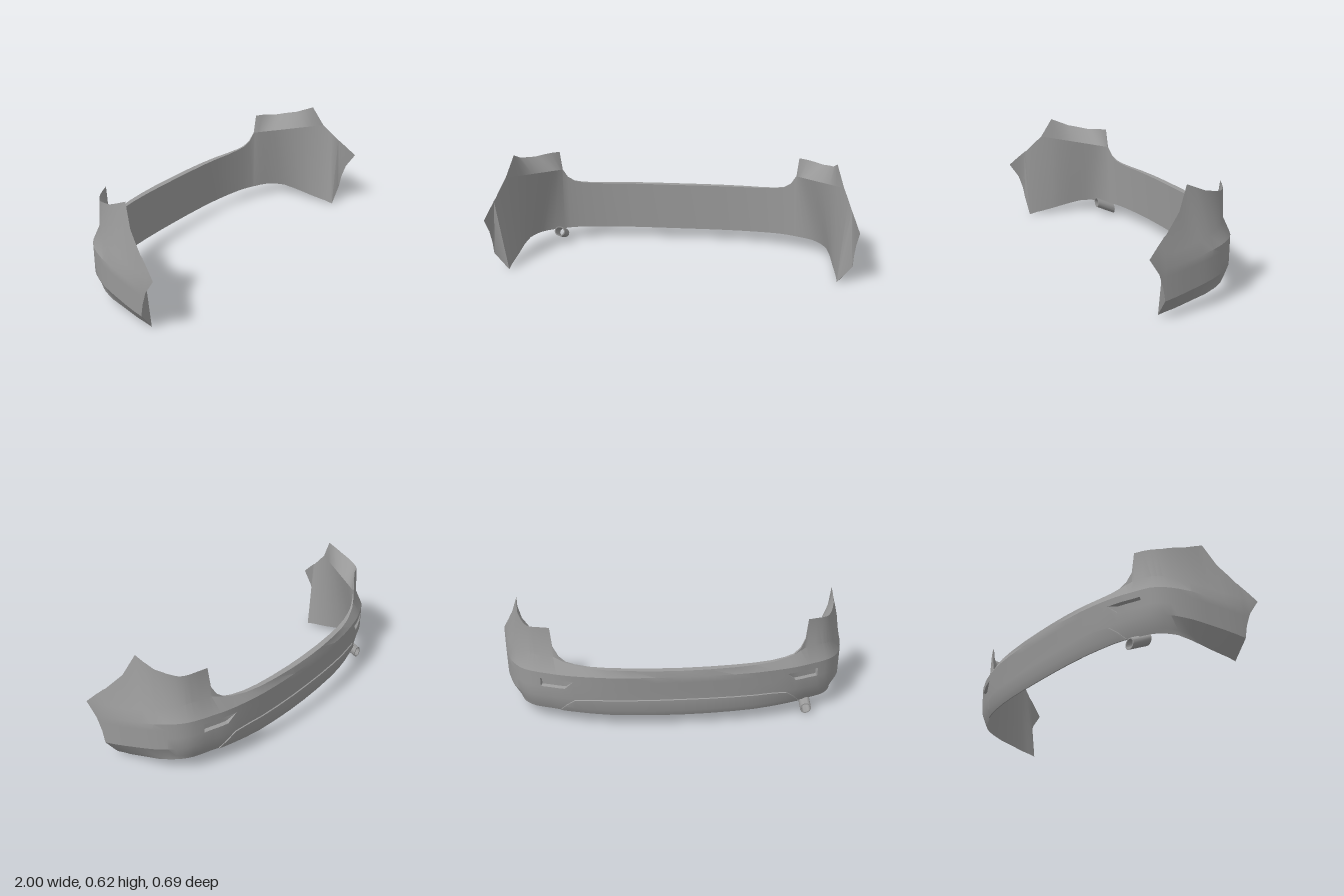
import * as THREE from 'three';
import { toCreasedNormals } from 'three/addons/utils/BufferGeometryUtils.js';

// Half plan from rear centre round to the wheel-arch tip: x, z, bottom y, top y
const STATIONS = [
  [0, -.345, .066, .345], [.14, -.343, .067, .346], [.28, -.336, .069, .348], [.4, -.325, .071, .35],
  [.5, -.308, .074, .353], [.58, -.29, .077, .362], [.63, -.276, .078, .373], [.67, -.262, .078, .4],
  [.7, -.249, .078, .45], [.712, -.244, .078, .56], [.76, -.225, .077, .557], [.805, -.203, .075, .552],
  [.834, -.182, .073, .549], [.857, -.159, .071, .548], [.877, -.132, .068, .553], [.897, -.098, .064, .56],
  [.925, -.035, .05, .573], [.943, .03, .038, .599], [.954, .078, .028, .62], [.969, .142, .016, .505],
  [.979, .195, .009, .455], [.985, .239, 0, .412],
  [.987, .253, .095, .405], [.988, .265, .165, .393], [.992, .29, .24, .372], [1, .345, .322, .322],
];
const N = STATIONS.length - 1;
const HOLE = [5, 10];   // stations spanned by a reflector pocket
const WING = [8, 19];   // stations spanned by the upper wing web

const material = new THREE.MeshStandardMaterial({ color: 0x9a9a9a, side: THREE.DoubleSide });

// Piecewise linear value through [position, value] pairs
function ramp(pairs, t) {
  if (t <= pairs[0][0]) return pairs[0][1];
  for (let i = 1; i < pairs.length; i++) {
    const [a, va] = pairs[i - 1], [b, vb] = pairs[i];
    if (t <= b) return va + (vb - va) * (t - a) / Math.max(b - a, 1e-6);
  }
  return pairs[pairs.length - 1][1];
}

const station = (i) => STATIONS[Math.abs(i)];
const clampY = (i, y) => Math.min(Math.max(y, station(i)[2]), station(i)[3]);

// Crease heights and their insets from the widest plan line
function creases(i) {
  const [, z, bottom] = station(i);
  const base = z > .25 ? 0 : bottom;
  const k1 = base + ramp([[-.345, .034], [-.2, .024], [.25, .02]], z);
  const k2 = ramp([[-.345, .172], [-.2, .162], [.25, .098]], z);
  const k3 = ramp([[-.3, .312], [-.2, .31], [.1, .275], [.22, .26]], z);
  const k4 = ramp([[-.345, .345], [-.29, .362], [-.25, .395], [-.2, .395], [-.05, .36], [.17, .325], [.345, .32]], z);
  const i4 = ramp([[-.345, .01], [-.295, .03], [-.25, .04], [-.1, .032], [.1, .02], [.22, .01], [.345, 0]], z);
  const slope = ramp([[-.25, .03], [-.15, .06], [.08, .18]], z);
  return [
    [base, ramp([[-.345, .035], [-.2, .035], [-.1, .036], [.05, .06], [.24, .08]], z)],
    [k1, ramp([[-.345, .02], [-.2, .024], [.05, .045], [.24, .062]], z)],
    [k2, ramp([[-.345, .015], [-.2, .003]], z)],
    [k3, 0], [k4, i4], [k4 + 1, i4 + slope],
  ];
}

// Point at a given inset inward from the plan line
function insetPoint(i, y, inset) {
  const s = Math.sign(i) || 1, n = Math.abs(i);
  const [x, z] = STATIONS[n];
  const [xb, zb] = STATIONS[Math.min(n + 1, N)];
  const [xa, za] = n ? STATIONS[n - 1] : [-xb, zb];
  const dx = xb - xa, dz = zb - za, l = Math.hypot(dx, dz);
  return [s * (x - inset * dz / l), y, z + inset * dx / l];
}
const skinInset = (i, y) => ramp(creases(i), y);
const skin = (i, y, extra = 0) => insetPoint(i, y, skinInset(i, y) + extra);

// Surface from columns of points; rows climb on faces that look outward
function loft(from, to, column, name, crease, skip = () => false) {
  const pos = [];
  const tri = (a, b, c) => {
    const [p, q, r] = [a, b, c].map((v) => new THREE.Vector3(...v));
    if (q.sub(p).cross(r.sub(p)).length() > 1e-9) pos.push(...a, ...b, ...c);
  };
  for (let i = from; i < to; i++) {
    const L = column(i), R = column(i + 1);
    for (let j = 0; j < L.length - 1; j++) {
      if (skip(i, j)) continue;
      tri(L[j], L[j + 1], R[j + 1]);
      tri(L[j], R[j + 1], R[j]);
    }
  }
  return toMesh(pos, name, crease);
}
function toMesh(pos, name, crease) {
  const g = new THREE.BufferGeometry();
  g.setAttribute('position', new THREE.Float32BufferAttribute(pos, 3));
  const mesh = new THREE.Mesh(toCreasedNormals(g, crease), material);
  mesh.name = name;
  return mesh;
}

// Heights of a pocket's lower and upper edge, meeting at the end nearer the centre
function pocketEdges(i) {
  const c = creases(i), lo = c[2][0], d = c[3][0] - lo;
  return [lo + d * (Math.abs(i) === HOLE[0] ? .75 : .42), lo + d * .75];
}

function skinColumn(i) {
  const c = creases(i), [r1, r2] = pocketEdges(i);
  return [station(i)[2], c[1][0], c[2][0], r1, r2, c[3][0], c[4][0], station(i)[3]]
    .map((y) => skin(i, clampY(i, y)));
}

// Inner rim: a ledge along the rear, a straight chord across each wing
function innerTop(i) {
  const n = Math.abs(i), top = station(i)[3];
  const [a, b] = WING;
  if (n <= a) return insetPoint(i, top, Math.max(.045, skinInset(i, top)));
  if (n >= b) return skin(i, top);
  const s = Math.sign(i), t = (station(n)[1] - station(a)[1]) / (station(b)[1] - station(a)[1]);
  const start = innerTop(s * a), end = innerTop(s * b);
  return start.map((v, k) => v + (end[k] - v) * t);
}

function reflectorPocket(side) {
  const column = (i) => {
    const [a, b] = pocketEdges(i);
    const open = b > a ? 1 : 0;
    const lip = .006 * open, depth = .02 * open;
    return [skin(i, a), skin(i, a + lip, depth), skin(i, b - lip, depth), skin(i, b)];
  };
  const [from, to] = side > 0 ? HOLE : [-HOLE[1], -HOLE[0]];
  const group = new THREE.Group();
  group.name = side > 0 ? 'leftReflectorPocket' : 'rightReflectorPocket';
  const [a, b, c, d] = column(side * HOLE[1]);
  group.add(loft(from, to, column, 'pocketFloor', .35));
  group.add(toMesh([a, b, c, a, c, d].flat(), 'pocketEnd', .35));
  return group;
}

// Raised panel on the lower rear, its ends curving down
function lowerPanel() {
  const out = -.006;
  const tops = [[0, .168], [4, .166], [5, .158], [6, .12], [7, .079]];
  return loft(-7, 7, (i) => {
    const bottom = station(i)[2], top = ramp(tops, Math.abs(i));
    const mid = Math.min(creases(i)[1][0], top);
    return [skin(i, bottom), skin(i, bottom, out), skin(i, mid, out), skin(i, top, out), skin(i, top + .003)];
  }, 'lowerPanel', .42);
}

// Hollow pipe sloping down to the rear with upright cut ends
function exhaustPipe() {
  const profile = [[.025, 0], [.031, 0], [.031, .115], [.025, .115], [.025, 0]]
    .map(([r, h]) => new THREE.Vector2(r, h));
  const g = new THREE.LatheGeometry(profile, 20).rotateX(Math.PI / 2);
  const p = g.attributes.position;
  for (let k = 0; k < p.count; k++) p.setY(k, p.getY(k) + p.getZ(k) * .46);
  const mesh = new THREE.Mesh(toCreasedNormals(g, .6), material);
  mesh.name = 'exhaustPipe';
  mesh.position.set(-.7, .035, -.25);
  return mesh;
}

export function createModel() {
  const model = new THREE.Group();
  model.name = 'rearBumper';
  const inHole = (i, j) => {
    const n = i >= 0 ? i : -i - 1;
    return j === 3 && n >= HOLE[0] && n < HOLE[1];
  };
  model.add(loft(-N, N, skinColumn, 'outerSkin', .42, inHole));
  model.add(loft(-N, N, (i) => [skin(i, station(i)[3]), innerTop(i)], 'topLedge', 1));
  model.add(loft(-N, N, (i) => [innerTop(i), skin(i, station(i)[2])], 'innerLining', 1));
  model.add(lowerPanel(), reflectorPocket(1), reflectorPocket(-1), exhaustPipe());
  return model;
}
